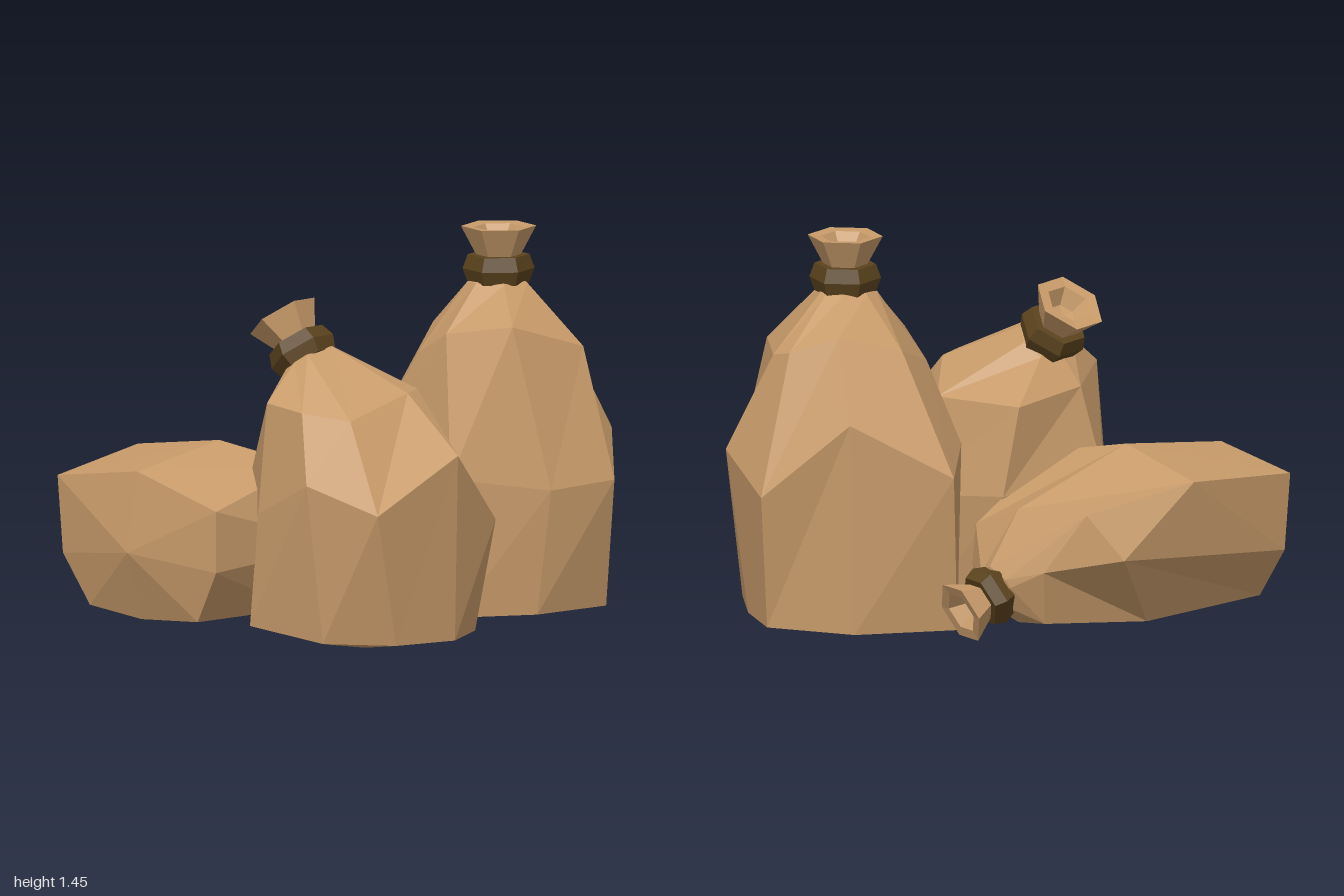
import * as THREE from 'three';

const V = (p) => new THREE.Vector3(...p);

// Flat-faced skin over rings of equal length, closed at both ends by a point
function skin(start, rings, end) {
  const pos = [];
  const tri = (...pts) => pts.forEach((p) => pos.push(p.x, p.y, p.z));
  const n = rings[0].length;
  for (let j = 0; j < n; j++) {
    const k = (j + 1) % n;
    tri(start, rings[0][j], rings[0][k]);
    for (let i = 0; i < rings.length - 1; i++) {
      const a = rings[i][j], b = rings[i][k], c = rings[i + 1][k], d = rings[i + 1][j];
      tri(a, d, b);
      tri(b, d, c);
    }
    tri(end, rings[rings.length - 1][k], rings[rings.length - 1][j]);
  }
  const g = new THREE.BufferGeometry();
  g.setAttribute('position', new THREE.Float32BufferAttribute(pos, 3));
  g.computeVertexNormals();
  return g;
}

// Faceted six-sided turned shape
function turned(profile) {
  const g = new THREE.LatheGeometry(profile.map((p) => new THREE.Vector2(...p)), 6).toNonIndexed();
  g.computeVertexNormals();
  return g;
}

export function createModel() {
  const model = new THREE.Group();
  const cloth = new THREE.MeshStandardMaterial({ color: 0xc89b6a, flatShading: true });
  cloth.name = 'tanCloth';
  const cord = new THREE.MeshStandardMaterial({ color: 0x5a421d, flatShading: true });
  cord.name = 'darkCord';

  const bandGeo = turned([[0.07, -0.05], [0.11, -0.05], [0.128, 0], [0.11, 0.05], [0.06, 0.05]]);
  const mouthGeo = turned([[0.07, 0], [0.08, 0.05], [0.134, 0.152], [0.088, 0.148], [0.05, 0.09], [0, 0.08]]);

  function addSack(name, { base, rings, tie, axis, twist, tieScale }) {
    const sack = new THREE.Group();
    sack.name = name;
    const add = (part, geo, mat, parent) => {
      const m = new THREE.Mesh(geo, mat);
      m.name = part;
      parent.add(m);
    };
    const dir = V(axis).normalize();
    const centre = V(tie);

    // Gathered neck ring, following the columns of the last body ring
    const body = rings.map((r) => r.map(V));
    const foot = centre.clone().addScaledVector(dir, -0.045 * tieScale);
    const neck = body[body.length - 1].map((p) =>
      p.clone().sub(foot).projectOnPlane(dir).setLength(0.11 * tieScale).add(foot));
    add('body', skin(V(base), [...body, neck], centre), cloth, sack);

    // Cord and flared open mouth
    const top = new THREE.Group();
    top.name = 'tiedTop';
    top.position.copy(centre);
    top.quaternion.setFromUnitVectors(new THREE.Vector3(0, 1, 0), dir);
    top.rotateY(twist);
    top.scale.setScalar(tieScale);
    add('cordBand', bandGeo, cord, top);
    add('mouth', mouthGeo, cloth, top);
    sack.add(top);
    model.add(sack);
  }

  addSack('tallSack', {
    base: [0.56, 0.04, -0.1], tie: [0.565, 1.3, -0.035], axis: [0, 1, 0], twist: 0.3, tieScale: 1,
    rings: [
      [[0.92, 0.1, -0.1], [0.91, 0.1, 0.15], [0.62, 0.1, 0.28], [0.32, 0.1, 0.27],
        [0.2, 0.1, -0.1], [0.21, 0.09, -0.41], [0.58, 0.09, -0.44], [0.88, 0.1, -0.33]],
      [[1, 0.7, -0.1], [0.91, 0.57, 0.26], [0.66, 0.55, 0.32], [0.3, 0.6, 0.28],
        [0.17, 0.72, -0.2], [0.23, 0.66, -0.48], [0.6, 0.86, -0.465], [0.91, 0.59, -0.4]],
      [[0.84, 1.06, -0.18], [0.82, 1.04, 0.17], [0.54, 1.13, 0.24], [0.34, 1.09, 0.08],
        [0.28, 1.0, -0.08], [0.39, 1.08, -0.27], [0.62, 1.14, -0.3], [0.79, 1.08, -0.25]],
    ],
  });

  addSack('frontSack', {
    base: [0, 0, 0.23], tie: [-0.19, 1.05, 0.08], axis: [-0.36, 0.8, -0.47], twist: 0.2, tieScale: 0.98,
    rings: [
      [[0.38, 0.06, 0.32], [0.25, 0.06, 0.52], [0, 0.07, 0.64], [-0.24, 0.07, 0.53],
        [-0.43, 0.1, 0.25], [-0.33, 0.08, -0.02], [0, 0.06, -0.12], [0.28, 0.06, 0.05]],
      [[0.45, 0.46, 0.34], [0.25, 0.73, 0.56], [-0.09, 0.55, 0.72], [-0.3, 0.64, 0.53],
        [-0.4, 0.5, 0.25], [-0.36, 0.55, -0.03], [0.02, 0.52, -0.2], [0.35, 0.48, 0.05]],
      [[0.18, 0.93, 0.27], [0.12, 0.93, 0.36], [-0.13, 0.86, 0.5], [-0.28, 0.88, 0.4],
        [-0.37, 0.9, 0.26], [-0.28, 0.87, -0.01], [-0.04, 0.84, -0.18], [0.23, 0.84, 0.02]],
    ],
  });

  addSack('lyingSack', {
    base: [-0.83, 0.35, 0.06], tie: [0.11, 0.245, -0.54], axis: [0.8, -0.33, -0.42], twist: 0.5, tieScale: 0.88,
    rings: [
      [[-0.58, 0.53, 0.34], [-0.79, 0.64, 0.05], [-1, 0.59, -0.25], [-0.98, 0.31, -0.25],
        [-0.9, 0.13, -0.18], [-0.76, 0.1, 0], [-0.62, 0.12, 0.24], [-0.58, 0.31, 0.34]],
      [[-0.18, 0.63, 0.03], [-0.42, 0.7, -0.19], [-0.62, 0.64, -0.55], [-0.35, 0.4, -0.72],
        [-0.46, 0.12, -0.48], [-0.42, 0.08, -0.18], [-0.2, 0.12, 0.04], [-0.04, 0.35, 0.06]],
      [[0.13, 0.45, -0.3], [0, 0.54, -0.47], [-0.22, 0.56, -0.68], [-0.07, 0.35, -0.66],
        [-0.08, 0.15, -0.6], [0, 0.13, -0.48], [0.1, 0.18, -0.35], [0.14, 0.3, -0.28]],
    ],
  });

  return model;
}
